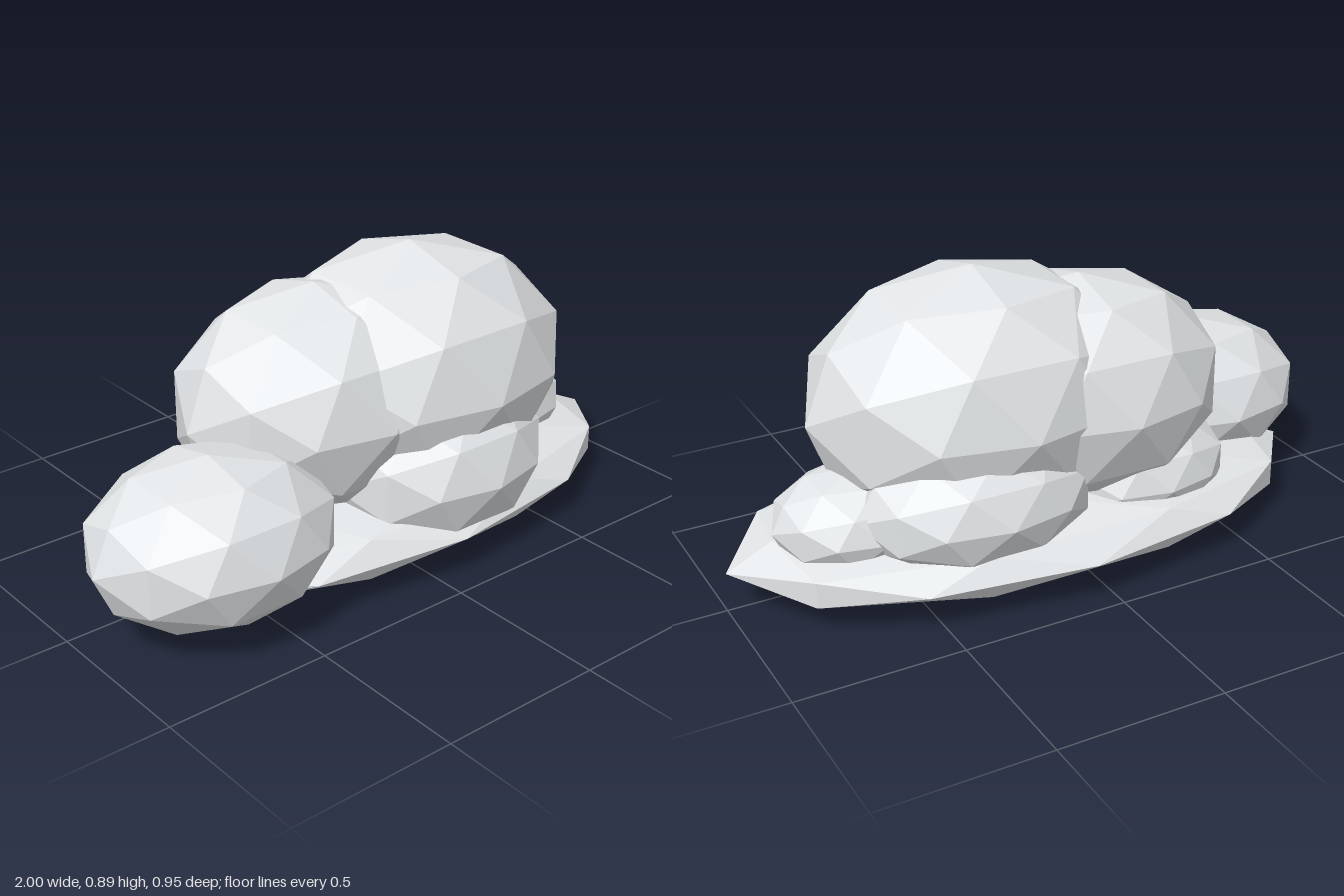
import * as THREE from 'three';

// name, centre [x, y, z], radii [x, y, z]
const PUFFS = [
  ['flatBase', [0.07, 0.127, -0.015], [0.93, 0.127, 0.46]],
  ['mainPuff', [0.21, 0.5, 0.017], [0.52, 0.39, 0.41]],
  ['secondPuff', [-0.11, 0.477, -0.03], [0.45, 0.346, 0.367]],
  ['rightPuff', [-0.625, 0.272, 0.165], [0.375, 0.243, 0.312]],
  ['frontPuff', [0.168, 0.272, 0.175], [0.37, 0.25, 0.302]],
  ['leftPuff', [0.61, 0.23, -0.045], [0.26, 0.15, 0.212]],
  ['backLeftPuff', [0.31, 0.28, -0.19], [0.365, 0.2, 0.246]],
  ['backRightPuff', [-0.25, 0.22, -0.135], [0.295, 0.17, 0.22]],
];

export function createModel() {
  const group = new THREE.Group();
  group.name = 'cloud';

  const cloudWhite = new THREE.MeshStandardMaterial({ color: 0xeef1f3, flatShading: true });
  cloudWhite.name = 'cloudWhite';

  // every puff is the same faceted ball, stretched to its own radii
  for (const [name, centre, radii] of PUFFS) {
    const ball = new THREE.IcosahedronGeometry(1, 1);
    ball.rotateY(Math.PI / 2);
    ball.scale(...radii);
    ball.computeVertexNormals();
    const puff = new THREE.Mesh(ball, cloudWhite);
    puff.name = name;
    puff.position.set(...centre);
    group.add(puff);
  }
  return group;
}
